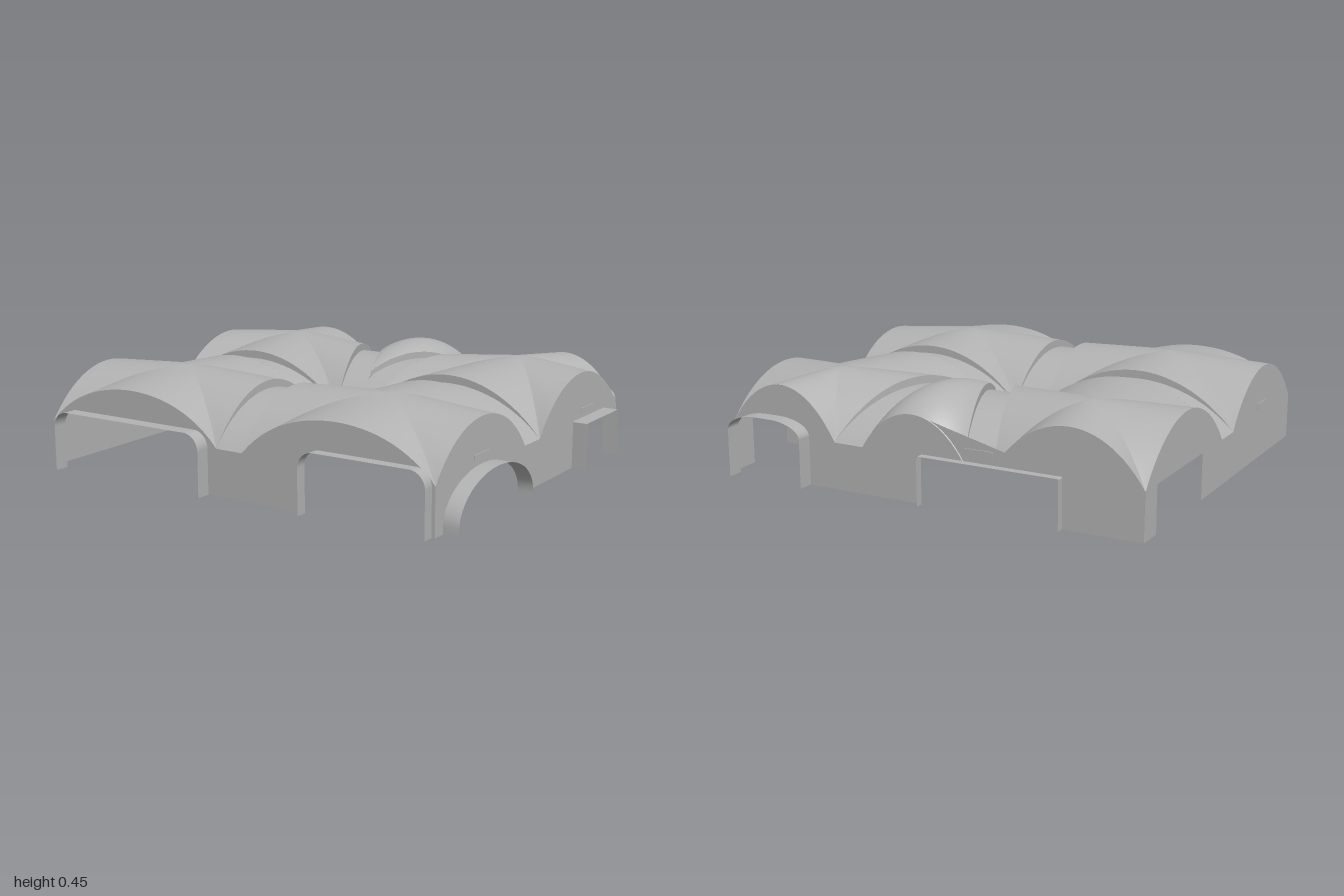
import * as THREE from 'three';

const stone = new THREE.MeshStandardMaterial({ color: 0xb2b2b2, side: THREE.DoubleSide });
stone.name = 'grey stone';

const lerp = THREE.MathUtils.lerp;
const SPRING = 0.2, COMMON = 0.41, CROWN = 0.44, BAND = 0.385;

// Normalised segmental arch: 0 at both ends, 1 in the middle
function arch(u) {
  const c = 0.45, r = 0.19, R = (c * c + r * r) / (2 * r);
  const x = c * (2 * u - 1);
  return (Math.sqrt(R * R - x * x) - (R - r)) / r;
}
// Height of a bay's edge arch
const edgeHeight = (s, peak) => SPRING + (lerp(COMMON, peak, 4 * s * (1 - s)) - SPRING) * arch(s);

// Smooth sheet from a rule point(u, v) -> [x, y, z]
function sheet(point, nu, nv) {
  const pos = [], idx = [];
  for (let j = 0; j <= nv; j++)
    for (let i = 0; i <= nu; i++) pos.push(...point(i / nu, j / nv));
  for (let j = 0; j < nv; j++)
    for (let i = 0; i < nu; i++) {
      const a = j * (nu + 1) + i, b = a + 1, c = a + nu + 1, d = c + 1;
      idx.push(a, b, d, a, d, c);
    }
  const g = new THREE.BufferGeometry();
  g.setAttribute('position', new THREE.Float32BufferAttribute(pos, 3));
  g.setIndex(idx);
  g.computeVertexNormals();
  return g;
}
const ruled = (a, b, n = 32) => sheet((u, v) => {
  const p = a(u), q = b(u);
  return p.map((c, k) => lerp(c, q[k], v));
}, n, 1);

export function createModel() {
  const model = new THREE.Group();
  model.name = 'vaultedHall';
  const add = (name, geometry, parent = model) => {
    const m = new THREE.Mesh(geometry, stone);
    m.name = name;
    parent.add(m);
    return m;
  };
  const group = (name) => {
    const g = new THREE.Group();
    g.name = name;
    model.add(g);
    return g;
  };

  // Groin vaults: corners run front-left, front-right, back-right, back-left as seen from above
  const bays = [
    { name: 'frontWestVault', c: [-0.54, 0.45], p: [[-0.99, 0.84], [-0.09, 0.825], [-0.1, 0.09], [-0.99, 0.11]], peaks: [0.388, 0.42, 0.42, 0.415] },
    { name: 'frontEastVault', c: [0.49, 0.45], p: [[0.04, 0.824], [0.93, 0.81], [0.93, 0.085], [0.05, 0.09]], peaks: [0.388, 0.4, 0.42, 0.42] },
    { name: 'backWestVault', c: [-0.62, -0.5], p: [[-0.99, -0.02], [-0.1, -0.06], [-0.35, -0.82], [-0.99, -0.81]], peaks: [0.42, 0.42, 0.41, 0.42] },
    { name: 'backEastVault', c: [0.58, -0.53], p: [[0.05, -0.06], [0.93, -0.05], [0.93, -0.84], [0.4, -0.83]], peaks: [0.42, 0.415, 0.415, 0.42] },
  ];
  for (const { name, c, p, peaks } of bays) {
    const bay = group(name);
    for (let k = 0; k < 4; k++) {
      const A = p[k], B = p[(k + 1) % 4];
      add('vaultWeb', sheet((s, t) => {
        const u = lerp(s, 0.5, t);
        const top = lerp(lerp(COMMON, peaks[k], 4 * s * (1 - s)), CROWN, t);
        return [
          lerp(lerp(A[0], B[0], s), c[0], t),
          SPRING + (top - SPRING) * arch(u),
          lerp(lerp(A[1], B[1], s), c[1], t),
        ];
      }, 28, 14), bay);
    }
  }

  // Arch bands between the bays, sunk below the vault edges
  const line = (A, B) => (t) => [lerp(A[0], B[0], t), lerp(A[1], B[1], t)];
  const raise = (path, height) => (t) => {
    const [x, z] = path(t);
    return [x, height(t), z];
  };
  const bandHeight = (t) => SPRING + (BAND - SPRING) * arch(t);
  const vaultHeight = (t) => edgeHeight(t, 0.42);
  const bands = group('archBands');
  const band = (name, a, b, steps) => {
    add(name, ruled(raise(a, bandHeight), raise(b, bandHeight)), bands);
    for (const e of steps) add(name + 'Step', ruled(raise(e, bandHeight), raise(e, vaultHeight)), bands);
  };
  const [FW, FE, BW, BE] = bays.map((b) => b.p);
  const straight = (name, a, b) => band(name, a, b, [a, b]);
  straight('westBand', line(FW[3], FW[2]), line(BW[0], BW[1]));
  straight('eastBand', line(FE[3], FE[2]), line(BE[0], BE[1]));
  straight('frontBand', line(FW[1], FW[2]), line(FE[0], FE[3]));

  // Two back bands that spread apart from the centre
  const TIP = [-0.02, -0.22], BACK = -0.83;
  const tipT = (TIP[1] - BACK) / (-0.06 - BACK);
  const inner = (x0) => (t) => [lerp(x0, TIP[0], Math.min(1, t / tipT)), lerp(BACK, -0.06, t)];
  const innerW = inner(-0.22), innerE = inner(0.26);
  const outerW = line(BW[2], BW[1]), outerE = line(BE[3], BE[0]);
  band('backWestBand', outerW, innerW, [outerW]);
  band('backEastBand', outerE, innerE, [outerE]);

  // Pointed lunette vault between the back bands
  const lunetteEdge = (t) => SPRING + 0.215 * arch(t);
  const lunette = group('lunetteVault');
  add('lunetteWeb', sheet((s, v) => {
    const t = v * tipT, [x0, z] = innerW(t), [x1] = innerE(t);
    return [lerp(x0, x1, s), lunetteEdge(t) + 0.17 * (1 - v) ** 2 * arch(s), z];
  }, 24, 24), lunette);
  for (const e of [innerW, innerE]) {
    const part = (t) => e(t * tipT);
    add('lunetteStep', ruled(raise(part, (t) => bandHeight(t * tipT)), raise(part, (t) => lunetteEdge(t * tipT))), lunette);
  }

  // Opening outline with elliptical upper corners
  function openingOutline({ a, b, h, rx, ry }) {
    const pts = [[a, 0]], n = 12;
    for (let i = 0; i <= n; i++) {
      const q = (i / n) * Math.PI / 2;
      pts.push([a + rx * (1 - Math.cos(q)), h - ry * (1 - Math.sin(q))]);
    }
    for (let i = 0; i <= n; i++) {
      const q = (i / n) * Math.PI / 2;
      pts.push([b - rx * (1 - Math.sin(q)), h - ry * (1 - Math.cos(q))]);
    }
    pts.push([b, 0]);
    return pts;
  }

  // Wall sheet: runs along x or z, arched on top, with openings, outward reveals and small vents
  function wall({ name, axis, out, from, to, arcs, openings, vents = [] }) {
    const g = group(name);
    const across = (w) => lerp(from[1], to[1], (w - from[0]) / (to[0] - from[0]));
    const place = (w, y, d = 0) => {
      const o = across(w) + out * d;
      return axis === 'x' ? [w, y, o] : [o, y, w];
    };
    const pts = [];
    for (const [a, b, height] of arcs)
      for (let i = 0; i <= 28; i++) pts.push([lerp(a, b, i / 28), height(i / 28)]);
    pts.push([to[0], 0]);
    for (const o of [...openings].reverse()) pts.push(...openingOutline(o).reverse());
    pts.push([from[0], 0]);
    const geo = new THREE.ShapeGeometry(new THREE.Shape(pts.map((p) => new THREE.Vector2(...p))));
    const pos = geo.attributes.position;
    for (let i = 0; i < pos.count; i++) pos.setXYZ(i, ...place(pos.getX(i), pos.getY(i)));
    geo.computeVertexNormals();
    add('wallFace', geo, g);
    for (const o of openings) {
      if (!o.depth) continue;
      const pl = openingOutline(o), n = pl.length - 1;
      add('openingReveal', sheet((u, v) => place(...pl[Math.round(u * n)], v * o.depth), n, 1), g);
    }
    for (const [a, b, y0, y1] of vents) {
      const size = axis === 'x' ? [b - a, y1 - y0, 0.008] : [0.008, y1 - y0, b - a];
      add('ventPlate', new THREE.BoxGeometry(...size), g).position.set(...place((a + b) / 2, (y0 + y1) / 2));
    }
  }
  const top = (peak) => (s) => edgeHeight(s, peak);
  wall({
    name: 'frontWall', axis: 'x', out: 1, from: [-0.99, 0.84], to: [0.93, 0.81],
    arcs: [[-0.99, -0.09, top(0.388)], [0.04, 0.93, top(0.388)]],
    openings: [
      { a: -0.92, b: -0.135, h: 0.265, rx: 0.07, ry: 0.07, depth: 0.065 },
      { a: 0.345, b: 0.915, h: 0.265, rx: 0.07, ry: 0.07, depth: 0.05 },
    ],
  });
  wall({
    name: 'backWall', axis: 'x', out: -1, from: [-0.99, -0.815], to: [0.93, -0.84],
    arcs: [[-0.99, -0.35, top(0.41)], [-0.22, 0.26, (s) => SPRING + 0.17 * arch(s)], [0.4, 0.93, top(0.415)]],
    openings: [
      { a: -0.65, b: -0.02, h: 0.21, rx: 0.005, ry: 0.005, depth: 0.035 },
      { a: 0.525, b: 0.895, h: 0.28, rx: 0.15, ry: 0.07, depth: 0.07 },
    ],
    vents: [[-0.35, -0.22, 0.24, 0.265]],
  });
  wall({
    name: 'eastWall', axis: 'z', out: 1, from: [-0.84, 0.93], to: [0.81, 0.93],
    arcs: [[-0.84, -0.05, top(0.415)], [0.085, 0.81, top(0.4)]],
    openings: [
      { a: -0.7, b: -0.375, h: 0.21, rx: 0.005, ry: 0.005, depth: 0.07 },
      { a: 0.14, b: 0.75, h: 0.21, rx: 0.305, ry: 0.18, depth: 0.07 },
    ],
    vents: [[-0.57, -0.45, 0.23, 0.255], [0.4, 0.52, 0.23, 0.255]],
  });
  wall({
    name: 'westWall', axis: 'z', out: -1, from: [-0.815, -0.99], to: [0.84, -0.99],
    arcs: [[-0.81, -0.02, top(0.42)], [0.11, 0.84, top(0.415)]],
    openings: [{ a: -0.7, b: -0.24, h: 0.2, rx: 0.01, ry: 0.01 }],
    vents: [[0.4, 0.52, 0.23, 0.255]],
  });

  return model;
}
